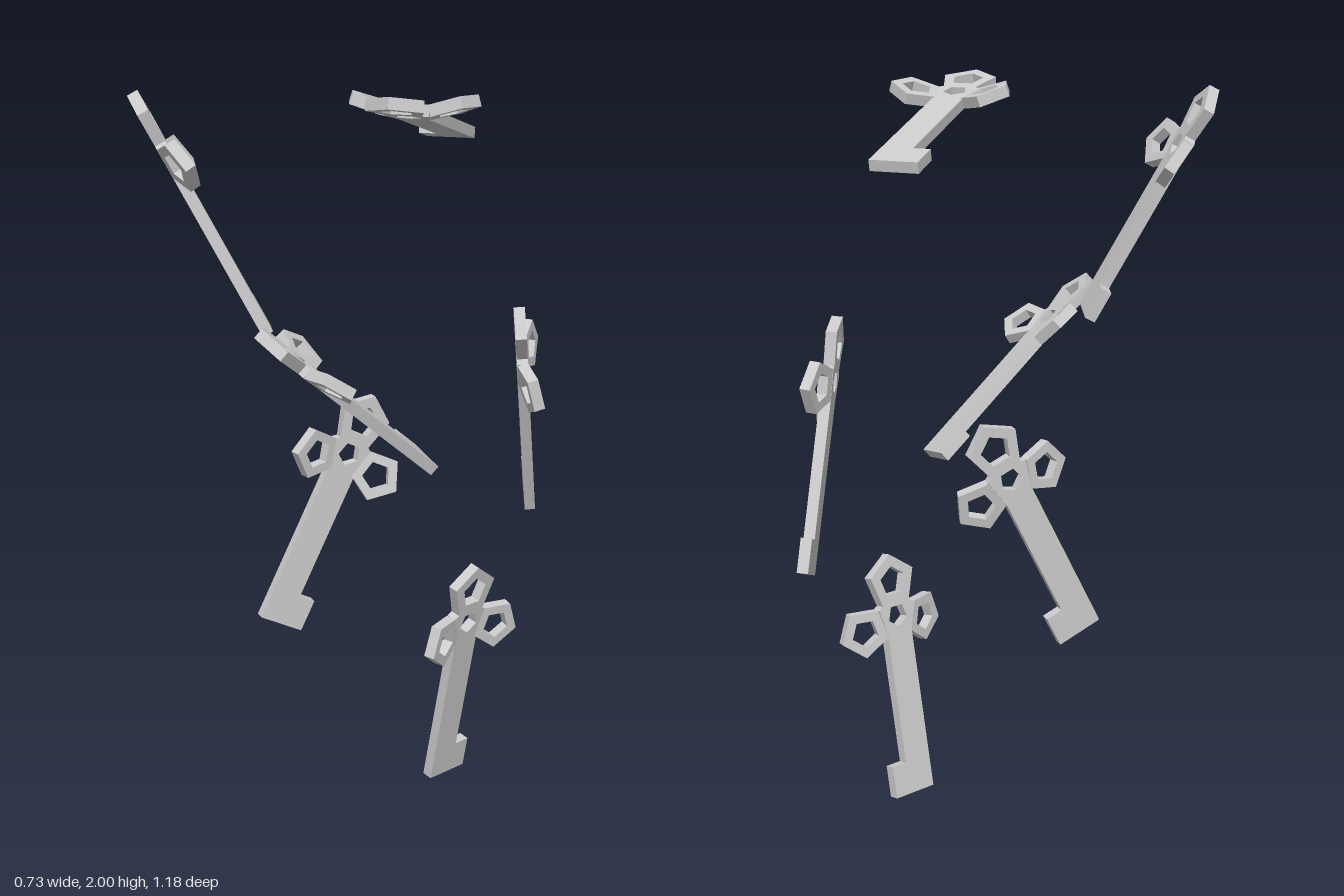
import * as THREE from 'three';

const THICK = 0.03;
const HUB_Y = 0.517;
const FOLD = THREE.MathUtils.degToRad(17);

const material = new THREE.MeshStandardMaterial({ color: 0xcccccc, flatShading: true });

// Five corners of a regular pentagon, first corner at the given angle
function pentagon(cx, cy, r, start) {
  return Array.from({ length: 5 }, (_, i) => {
    const a = start + (i * Math.PI * 2) / 5;
    return new THREE.Vector2(cx + r * Math.cos(a), cy + r * Math.sin(a));
  });
}

// Flat plate of even thickness, centred on its own plane, with one hole
function plate(outline, hole) {
  const shape = new THREE.Shape(outline);
  shape.holes.push(new THREE.Path(hole));
  const geometry = new THREE.ExtrudeGeometry(shape, { depth: THICK, bevelEnabled: false });
  geometry.translate(0, 0, -THICK / 2);
  return geometry;
}

// Pentagonal ring whose inner edge lies on y = 0 and whose corner points along +y
function ringGeometry(r, holeR) {
  const cy = r * Math.cos(Math.PI / 5);
  return plate(pentagon(0, cy, r, Math.PI / 2), pentagon(0, cy, holeR, Math.PI / 2));
}

// Shaft with the bit at its foot and the pierced hub at its top
const shaftGeometry = plate(
  [
    [-0.042, 0], [0.09, 0], [0.09, 0.092], [0.042, 0.092], [0.042, 0.467],
    [0.06, 0.543], [0.046, 0.552], [-0.046, 0.552], [-0.06, 0.543], [-0.042, 0.467],
  ].map(([x, y]) => new THREE.Vector2(x, y)),
  pentagon(0, HUB_Y, 0.033, -Math.PI / 2)
);
const tipGeometry = ringGeometry(0.078, 0.044);
const sideGeometry = ringGeometry(0.072, 0.041);

function createKey() {
  const key = new THREE.Group();
  const add = (name, geometry) => {
    const mesh = new THREE.Mesh(geometry, material);
    mesh.name = name;
    key.add(mesh);
    return mesh;
  };
  add('shaftAndBit', shaftGeometry);
  add('tipRing', tipGeometry).position.y = HUB_Y + 0.035;

  // Side rings, folded forward along their inner edge
  for (const side of [-1, 1]) {
    const angle = side * THREE.MathUtils.degToRad(106);
    const ring = add(side < 0 ? 'bitSideRing' : 'plainSideRing', sideGeometry);
    ring.position.set(-Math.sin(angle) * 0.05, HUB_Y + Math.cos(angle) * 0.05, 0);
    ring.rotation.set(FOLD, 0, angle, 'ZXY');
  }
  return key;
}

// Foot of the shaft, direction of the shaft, direction of the bit
const poses = [
  { name: 'lowestKey', foot: [0.1, 0.003, -0.158], up: [0.2, 0.98, 0], bit: [0, 0, -1] },
  { name: 'topKey', foot: [-0.022, 1.826, -0.341], up: [0.25, 0.118, 0.436], bit: [-0.86, 0, 0.5] },
  { name: 'lowerRightKey', foot: [-0.186, 0.498, 0.217], up: [0.075, 0.458, -0.217], bit: [0.3, -0.45, -0.85] },
  { name: 'middleKey', foot: [0.151, 0.978, -0.057], up: [-0.046, 0.327, 0.393], bit: [-0.93, 0.19, -0.28] },
  { name: 'backKey', foot: [0.1, 0.752, -0.525], up: [0.112, 0.475, 0.168], bit: [-0.68, 0.33, -0.65] },
  { name: 'upperFrontKey', foot: [-0.06, 1.37, 0.321], up: [-0.177, 0.446, 0.164], bit: [-0.79, -0.12, -0.6] },
];

export function createModel() {
  const model = new THREE.Group();
  model.name = 'floatingKeys';
  for (const { name, foot, up, bit } of poses) {
    const u = new THREE.Vector3(...up).normalize();
    const v = new THREE.Vector3(...bit);
    v.addScaledVector(u, -v.dot(u)).normalize();
    const n = new THREE.Vector3().crossVectors(v, u);

    const key = createKey();
    key.name = name;
    key.quaternion.setFromRotationMatrix(new THREE.Matrix4().makeBasis(v, u, n));
    key.position.set(...foot);
    model.add(key);
  }
  return model;
}
